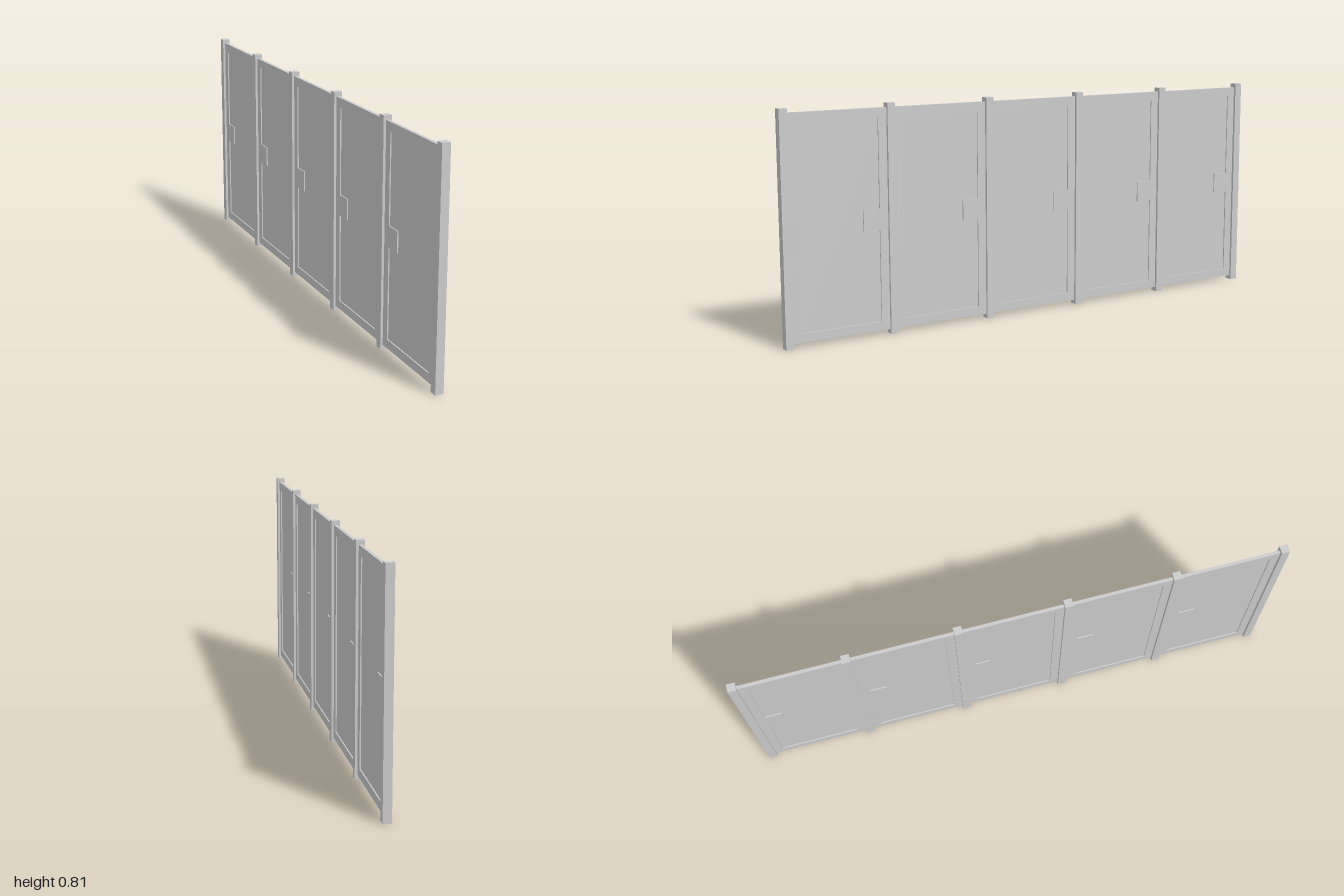
import * as THREE from 'three';

const POST = 0.03, HEIGHT = 0.815, BAYS = 5;
const PITCH = (2 - POST) / BAYS;
const FRAME_T = 0.012, GLASS_T = 0.003;
const Y0 = 0.016, Y1 = 0.8;              // frame bottom and top
const IN_Y0 = 0.048, IN_Y1 = 0.766;      // opening bottom and top
const HALF = (PITCH - POST) / 2, IN_HALF = 0.15;

export function createModel() {
  const model = new THREE.Group();
  model.name = 'glassPartition';
  const metal = new THREE.MeshStandardMaterial({ color: 0xcccccc });
  const glass = new THREE.MeshStandardMaterial({ color: 0xececec });

  const addBox = (parent, name, size, y, z, material = metal) => {
    const mesh = new THREE.Mesh(new THREE.BoxGeometry(...size), material);
    mesh.name = name;
    mesh.position.set(0, y, z);
    parent.add(mesh);
  };

  // Upright posts
  for (let i = 0; i <= BAYS; i++) {
    addBox(model, 'post', [POST, HEIGHT, POST], HEIGHT / 2, 1 - POST / 2 - i * PITCH);
  }

  // Rectangular frame with an opening, shared by every bay
  const outline = new THREE.Shape([
    new THREE.Vector2(-HALF, Y0), new THREE.Vector2(HALF, Y0),
    new THREE.Vector2(HALF, Y1), new THREE.Vector2(-HALF, Y1),
  ]);
  outline.holes.push(new THREE.Path([
    new THREE.Vector2(-IN_HALF, IN_Y0), new THREE.Vector2(-IN_HALF, IN_Y1),
    new THREE.Vector2(IN_HALF, IN_Y1), new THREE.Vector2(IN_HALF, IN_Y0),
  ]));
  const frameGeometry = new THREE.ExtrudeGeometry(outline, { depth: FRAME_T, bevelEnabled: false });
  frameGeometry.translate(0, 0, -FRAME_T / 2);
  frameGeometry.rotateY(Math.PI / 2);

  // Framed panes, each with a lock plate on its rear stile
  for (let i = 0; i < BAYS; i++) {
    const bay = new THREE.Group();
    bay.name = 'panel';
    bay.position.z = 1 - POST / 2 - (i + 0.5) * PITCH;

    const frame = new THREE.Mesh(frameGeometry, metal);
    frame.name = 'panelFrame';
    bay.add(frame);

    addBox(bay, 'glassPane', [GLASS_T, IN_Y1 - IN_Y0, IN_HALF * 2], (IN_Y0 + IN_Y1) / 2, 0, glass);
    addBox(bay, 'lockPlate', [FRAME_T, 0.077, 0.062], 0.411, -IN_HALF + 0.031);
    model.add(bay);
  }
  return model;
}
